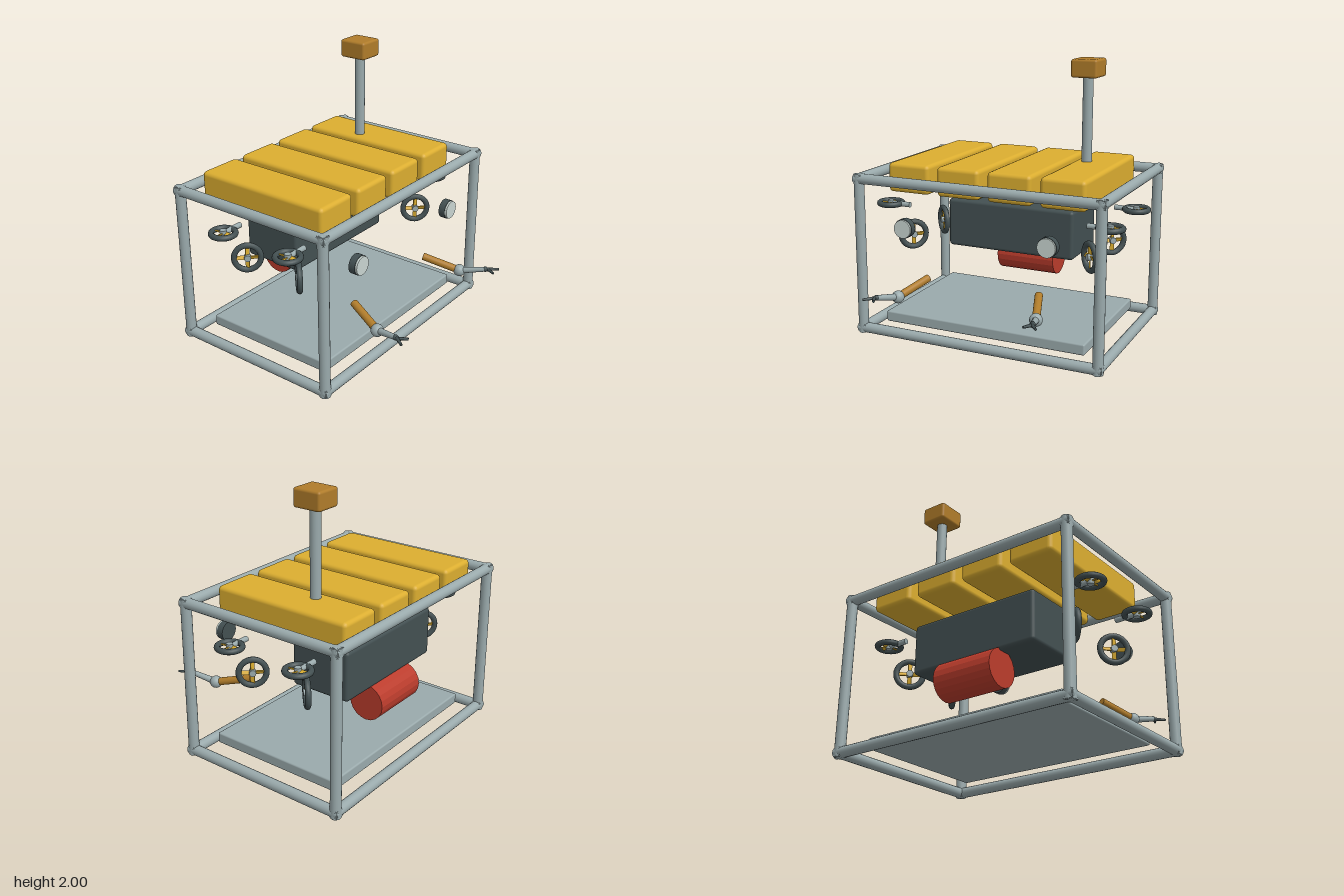
import * as THREE from 'three';
import { RoundedBoxGeometry } from 'three/addons/geometries/RoundedBoxGeometry.js';

const mat = (color, flatShading = false) => new THREE.MeshStandardMaterial({ color, flatShading });
const STEEL = mat(0x9aaaac), DARK = mat(0x435052), YELLOW = mat(0xdcae30);
const ORANGE = mat(0xb07c2a), RED = mat(0xbb3c2c, true), LENS = mat(0xc9d5d1);
const V = (x, y, z) => new THREE.Vector3(x, y, z);

function add(parent, name, geometry, material, x = 0, y = 0, z = 0) {
  const mesh = new THREE.Mesh(geometry, material);
  mesh.name = name;
  mesh.position.set(x, y, z);
  parent.add(mesh);
  return mesh;
}

// Box given by its minimum and maximum corners
function box(parent, name, material, a, b, r) {
  const s = b.clone().sub(a), c = a.clone().add(b).multiplyScalar(0.5);
  return add(parent, name, new RoundedBoxGeometry(s.x, s.y, s.z, 2, r), material, c.x, c.y, c.z);
}

// Round bar from a to b, optionally tapered
function rod(parent, name, material, a, b, r, rEnd = r, sides = 16) {
  const d = b.clone().sub(a), c = a.clone().add(b).multiplyScalar(0.5);
  const mesh = add(parent, name, new THREE.CylinderGeometry(rEnd, r, d.length(), sides), material, c.x, c.y, c.z);
  mesh.quaternion.setFromUnitVectors(V(0, 1, 0), d.normalize());
  return mesh;
}

// Ducted thruster facing local z
function thruster(name, radius) {
  const g = new THREE.Group();
  g.name = name;
  add(g, 'duct', new THREE.TorusGeometry(radius - 0.021, 0.021, 10, 32), DARK);
  const length = radius - 0.03;
  for (let i = 0; i < 4; i++) {
    const arm = new THREE.Group();
    arm.name = 'bladeMount';
    arm.rotation.z = i * Math.PI / 2;
    const blade = add(arm, 'blade', new THREE.BoxGeometry(0.03, length, 0.008), YELLOW, 0, length / 2, 0);
    blade.rotation.y = 0.45;
    g.add(arm);
  }
  rod(g, 'hub', STEEL, V(0, 0, -0.024), V(0, 0, 0.024), 0.024);
  return g;
}

export function createModel() {
  const model = new THREE.Group();
  model.name = 'underwaterVehicle';

  // Open tubular frame
  const frame = new THREE.Group();
  frame.name = 'frame';
  model.add(frame);
  const X = 0.912, Y0 = 0.04, Y1 = 1.16, ZF = 0.437, ZB = -0.82, R = 0.038, E = 0.032;
  for (const y of [Y0, Y1]) {
    for (const z of [ZF, ZB]) rod(frame, 'crossRail', STEEL, V(-X - E, y, z), V(X + E, y, z), R);
    for (const x of [-X, X]) rod(frame, 'sideRail', STEEL, V(x, y, ZB - E), V(x, y, ZF + E), R);
  }
  for (const x of [-X, X])
    for (const z of [ZF, ZB]) rod(frame, 'post', STEEL, V(x, Y0 - E, z), V(x, Y1 + E, z), R);

  // Floor plate, main hull and rear canister
  box(model, 'floorPlate', STEEL, V(-0.78, 0.07, -0.7), V(0.775, 0.15, 0.33), 0.012);
  box(model, 'mainHull', DARK, V(-0.503, 0.57, -0.6), V(0.5, 0.932, -0.138), 0.025);
  rod(model, 'canister', RED, V(-0.232, 0.455, -0.562), V(0.23, 0.455, -0.562), 0.134, 0.134, 20);

  // Buoyancy blocks
  for (let i = 0; i < 4; i++) {
    const x = -0.59 + i * 0.392;
    box(model, 'floatBlock', YELLOW, V(x - 0.164, 1.052, -0.763), V(x + 0.164, 1.265, 0.3), 0.03);
  }

  // Mast and sensor head
  rod(model, 'mast', STEEL, V(0.515, 1.2, -0.35), V(0.515, 1.9, -0.35), 0.037);
  box(model, 'sensorHead', ORANGE, V(0.418, 1.87, -0.457), V(0.613, 2, -0.245), 0.018);

  for (const s of [-1, 1]) {
    // Lamps
    rod(model, 'lampHousing', DARK, V(s * 0.545, 0.835, 0.405), V(s * 0.545, 0.835, 0.455), 0.07, 0.07, 24);
    rod(model, 'lampLens', LENS, V(s * 0.545, 0.835, 0.453), V(s * 0.545, 0.835, 0.47), 0.066, 0.066, 24);

    // Upright thrusters, turned in an X layout
    for (const [z, turn] of [[0.05, -s], [-0.42, s]]) {
      const t = thruster('uprightThruster', 0.116);
      t.position.set(s * 0.7, 0.68, z);
      t.rotation.y = turn * Math.PI / 4;
      model.add(t);
    }

    // Lifting thrusters on inboard struts
    for (const z of [0.1, -0.48]) {
      const t = thruster('liftThruster', 0.105);
      t.position.set(s * 0.86, 0.915, z);
      t.rotation.x = Math.PI / 2;
      model.add(t);
      rod(model, 'thrusterStrut', STEEL, V(s * 0.695, 0.915, z), V(s * 0.86, 0.915, z), 0.02, 0.018, 12);
    }

    // Manipulator arm with a two-finger gripper
    const arm = new THREE.Group();
    arm.name = 'manipulatorArm';
    model.add(arm);
    const elbow = V(s * 0.525, 0.375, 0.577), wrist = V(s * 0.582, 0.42, 0.765);
    rod(arm, 'upperArm', ORANGE, V(s * 0.432, 0.447, 0.312), elbow, 0.028);
    add(arm, 'elbow', new THREE.SphereGeometry(0.045, 16, 12), STEEL, elbow.x, elbow.y, elbow.z);
    rod(arm, 'forearm', STEEL, elbow, wrist, 0.025, 0.018);
    add(arm, 'wrist', new THREE.SphereGeometry(0.02, 12, 8), DARK, wrist.x, wrist.y, wrist.z);
    const palm = V(s * 0.592, 0.422, 0.795);
    rod(arm, 'palm', DARK, wrist, palm, 0.016, 0.014, 10);
    for (const x of [0.553, 0.638])
      rod(arm, 'finger', DARK, V(s * 0.588, 0.422, 0.782), V(s * x, 0.424, 0.848), 0.012, 0.009, 8);
  }
  return model;
}
